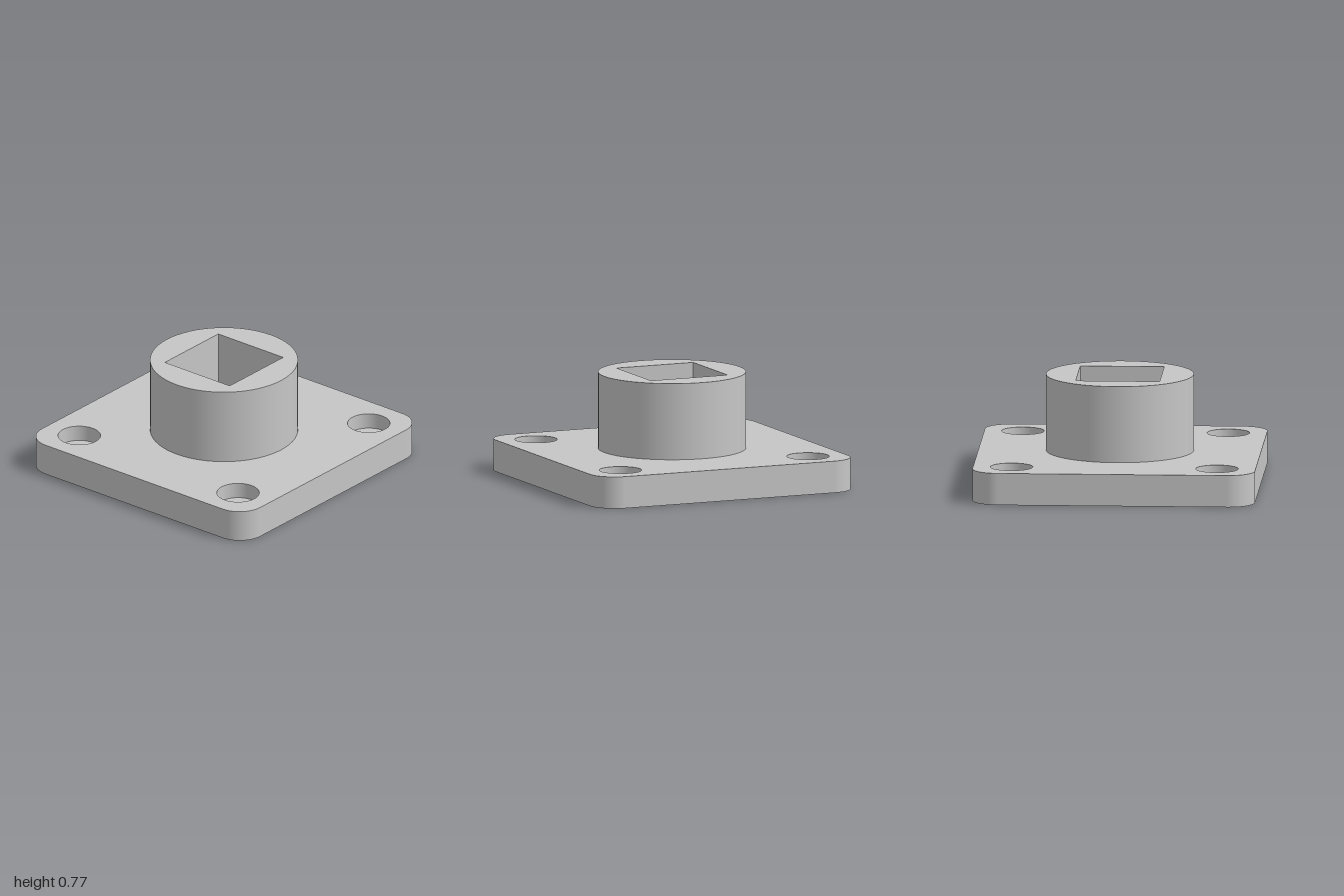
import * as THREE from 'three';

const PLATE_TOP = 0.227, SEAT_Y = 0.115, BOSS_TOP = 0.773;
const CORNER_R = 0.19, INSET = 1 - CORNER_R;
const BOSS_R = 0.523, POCKET = 0.297;
const BOLT = 0.727, BORE_R = 0.078, SEAT_R = 0.15;
const ARC = 32; // divisions per half circle

export function createModel() {
  const grey = new THREE.MeshStandardMaterial({ color: 0xc6c6c6 });
  grey.name = 'machined grey';
  const model = new THREE.Group();
  model.name = 'squareSocketFlange';

  const add = (parent, name, geometry, x = 0, y = 0, z = 0) => {
    const mesh = new THREE.Mesh(geometry, grey);
    mesh.name = name;
    mesh.position.set(x, y, z);
    parent.add(mesh);
    return mesh;
  };
  const group = (name) => {
    const g = new THREE.Group();
    g.name = name;
    model.add(g);
    return g;
  };
  const circle = (x, y, r) => new THREE.Path().absarc(x, y, r, 0, Math.PI * 2, false);
  const cap = (shape, up = true) =>
    new THREE.ShapeGeometry(shape, ARC).rotateX(up ? -Math.PI / 2 : Math.PI / 2);
  const revolve = (...pts) =>
    new THREE.LatheGeometry(pts.map(([r, y]) => new THREE.Vector2(r, y)), ARC * 2);
  const bolts = [[1, 1], [1, -1], [-1, -1], [-1, 1]].map(([a, b]) => [a * BOLT, b * BOLT]);

  // Rounded square face with four bolt holes
  const plateFace = (holeR) => {
    const s = new THREE.Shape();
    [[1, 1], [-1, 1], [-1, -1], [1, -1]].forEach(([a, b], i) =>
      s.absarc(a * INSET, b * INSET, CORNER_R, i * Math.PI / 2, (i + 1) * Math.PI / 2, false));
    s.closePath();
    bolts.forEach(([x, y]) => s.holes.push(circle(x, y, holeR)));
    return s;
  };

  // Base plate: top, underside, four sides and rounded corners
  const plate = group('basePlate');
  const topFace = plateFace(SEAT_R);
  topFace.holes.push(circle(0, 0, BOSS_R));
  add(plate, 'plateTop', cap(topFace), 0, PLATE_TOP);
  add(plate, 'plateUnderside', cap(plateFace(BORE_R), false));
  const side = new THREE.PlaneGeometry(2 * INSET, PLATE_TOP).translate(0, PLATE_TOP / 2, 1);
  const corner = new THREE.CylinderGeometry(
    CORNER_R, CORNER_R, PLATE_TOP, ARC, 1, true, 0, Math.PI / 2)
    .translate(INSET, PLATE_TOP / 2, INSET);
  for (let i = 0; i < 4; i++) {
    add(plate, 'plateSide', side).rotation.y = i * Math.PI / 2;
    add(plate, 'plateCorner', corner).rotation.y = i * Math.PI / 2;
  }

  // Counterbored bolt holes
  const seatWall = revolve([SEAT_R, PLATE_TOP], [SEAT_R, SEAT_Y]);
  const seatFloor = revolve([SEAT_R, SEAT_Y], [BORE_R, SEAT_Y]);
  const bore = revolve([BORE_R, SEAT_Y], [BORE_R, 0]);
  for (const [x, z] of bolts) {
    const hole = group('boltHole');
    hole.position.set(x, 0, z);
    add(hole, 'counterboreWall', seatWall);
    add(hole, 'counterboreSeat', seatFloor);
    add(hole, 'bore', bore);
  }

  // Round boss with a square opening
  const boss = group('boss');
  add(boss, 'bossWall', revolve([BOSS_R, PLATE_TOP], [BOSS_R, BOSS_TOP]));
  const rim = new THREE.Shape().absarc(0, 0, BOSS_R, 0, Math.PI * 2, false);
  rim.holes.push(new THREE.Path([[1, 1], [1, -1], [-1, -1], [-1, 1]]
    .map(([a, b]) => new THREE.Vector2(a * POCKET, b * POCKET))));
  add(boss, 'bossRim', cap(rim), 0, BOSS_TOP);

  // Blind square pocket, walls facing inwards
  const pocket = group('squarePocket');
  const depth = BOSS_TOP - PLATE_TOP;
  const wall = new THREE.PlaneGeometry(2 * POCKET, depth)
    .translate(0, PLATE_TOP + depth / 2, -POCKET);
  for (let i = 0; i < 4; i++) add(pocket, 'pocketWall', wall).rotation.y = i * Math.PI / 2;
  add(pocket, 'pocketFloor',
    new THREE.PlaneGeometry(2 * POCKET, 2 * POCKET).rotateX(-Math.PI / 2), 0, PLATE_TOP);

  return model;
}
